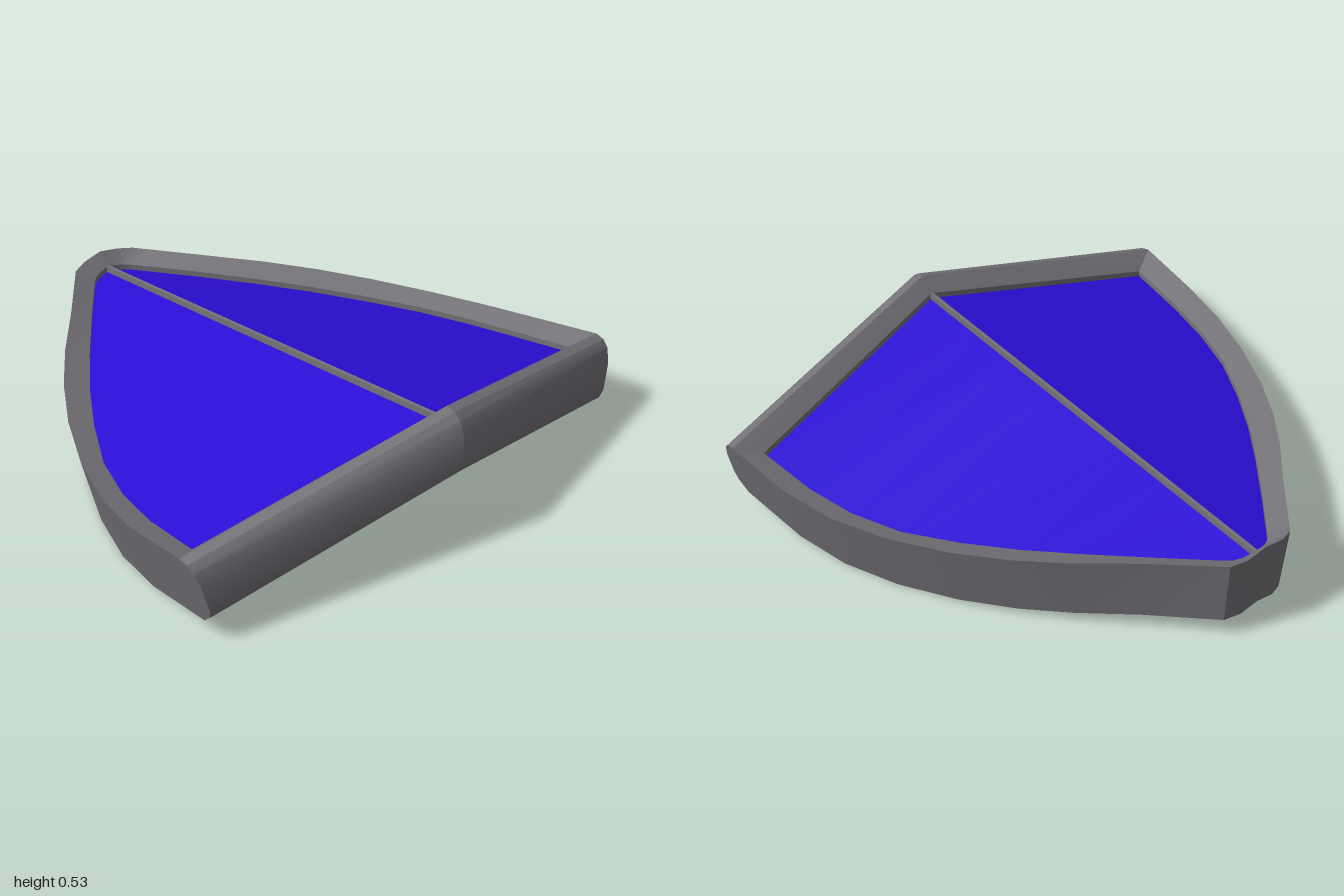
import * as THREE from 'three';
import { toCreasedNormals } from 'three/addons/utils/BufferGeometryUtils.js';

const grey = new THREE.MeshStandardMaterial({ color: 0x757278 });
const blue = new THREE.MeshStandardMaterial({ color: 0x2a0dd6 });

// Half outlines [x, z] from the back tip to the front corner
const outer = [[0, -.96], [.08, -.957], [.14, -.935], [.18, -.89], [.33, -.72], [.49, -.55],
  [.62, -.39], [.74, -.21], [.85, 0], [.93, .21], [.975, .42], [1, .69]];
const inner = [[0, -.915], [.05, -.905], [.08, -.89], [.11, -.86], [.25, -.7], [.41, -.51],
  [.54, -.345], [.66, -.17], [.77, .02], [.84, .21], [.88, .4], [.905, .64]];

// Rounded section of the front wall [forward, down]
const lip = [[0, 0], [.035, .008], [.06, .03], [.08, .08], [.09, .18], [.08, .215], [.04, .255]];

const SLOPE = .093, DEPTH = .255, FRONT_OUT = .87, FRONT_IN = .82;

// Height of the folded rim: falls to the sides and back, with a slight sag along the sides
const rimY = (x, z) =>
  .453 - .195 * x + SLOPE * z - .035 * x * x * Math.max(0, 1 - (z / .7) ** 2);
const onRim = (x, z, drop = 0) => [x, rimY(x, z) - drop, z];

// Surface between successive rows of points
function loft(rows, tris) {
  for (let r = 0; r < rows.length - 1; r++) {
    const a = rows[r], b = rows[r + 1];
    for (let i = 0; i < a.length - 1; i++) {
      tris.push([a[i], a[i + 1], b[i + 1]], [a[i], b[i + 1], b[i]]);
    }
  }
}

// Mesh from triangles of one half; side -1 gives the mirrored half
function halfMesh(name, tris, side, material) {
  const pos = [];
  for (const t of tris) {
    for (const [x, y, z] of side > 0 ? t : [...t].reverse()) pos.push(x * side, y, z);
  }
  const geo = new THREE.BufferGeometry();
  geo.setAttribute('position', new THREE.Float32BufferAttribute(pos, 3));
  const mesh = new THREE.Mesh(toCreasedNormals(geo, .45), material);
  mesh.name = name;
  return mesh;
}

// Point of the centre fold matching an outline point, spread from back to front
function foldRow(row, zEnd, yAt) {
  const z0 = row[0][2], z1 = row[row.length - 1][2];
  return row.map(p => {
    const z = z0 + (p[2] - z0) / (z1 - z0) * (zEnd - z0);
    return [0, yAt(z), z];
  });
}

export function createModel() {
  const group = new THREE.Group();
  const shell = [], panel = [];

  // Side rows: panel edge, bevel foot, rim edge, bottom edge
  const panelEdge = inner.map(([x, z]) => onRim(x, z, .072));
  const bevelFoot = inner.map(([x, z]) => onRim(x, z, .05));
  const rimEdge = outer.map(([x, z]) => onRim(x, z));
  const bottomEdge = outer.map(([x, z], i) => {
    const [, y] = onRim(x, z, DEPTH);
    return [x * .935, y, z + (i === outer.length - 1 ? .04 : .024)];
  });
  const bottomFold = foldRow(bottomEdge, FRONT_OUT + .04, z =>
    rimY(0, z - .024 - .016 * (z + .936) / 1.846) - DEPTH);
  loft([panelEdge, bevelFoot, rimEdge, bottomEdge, bottomFold], shell);

  // Front wall with its rounded lip, from the corner to the fold
  const [cx, cz] = outer[outer.length - 1];
  const lipRow = ([f, d]) => [
    [cx * (1 - .065 * d / DEPTH), rimY(cx, cz) - d, cz + f],
    [0, rimY(0, FRONT_OUT) - d, FRONT_OUT + f],
  ];
  const lipRows = lip.map(lipRow);
  loft([
    [panelEdge.at(-1), onRim(0, FRONT_IN, .072)],
    [bevelFoot.at(-1), onRim(0, FRONT_IN, .05)],
    ...lipRows,
  ], shell);

  // End face of the front wall
  for (let i = 1; i < lipRows.length - 1; i++) {
    shell.push([lipRows[0][0], lipRows[i][0], lipRows[i + 1][0]]);
  }

  // Recessed panel, ruled from the fold to its edge
  loft([foldRow(panelEdge, FRONT_IN, z => rimY(0, z) - .072), panelEdge], panel);

  for (const [label, side] of [['left', 1], ['right', -1]]) {
    group.add(halfMesh(label + 'Frame', shell, side, grey));
    group.add(halfMesh(label + 'Panel', panel, side, blue));
  }

  // Thin divider along the fold
  const z0 = inner[0][1], mid = (z0 + FRONT_IN) / 2;
  const divider = new THREE.Mesh(
    new THREE.BoxGeometry(.014, .03, (FRONT_IN - z0) * Math.hypot(1, SLOPE)), grey);
  divider.position.set(0, rimY(0, mid) - .065, mid);
  divider.rotation.x = -Math.atan(SLOPE);
  divider.name = 'divider';
  group.add(divider);
  return group;
}
